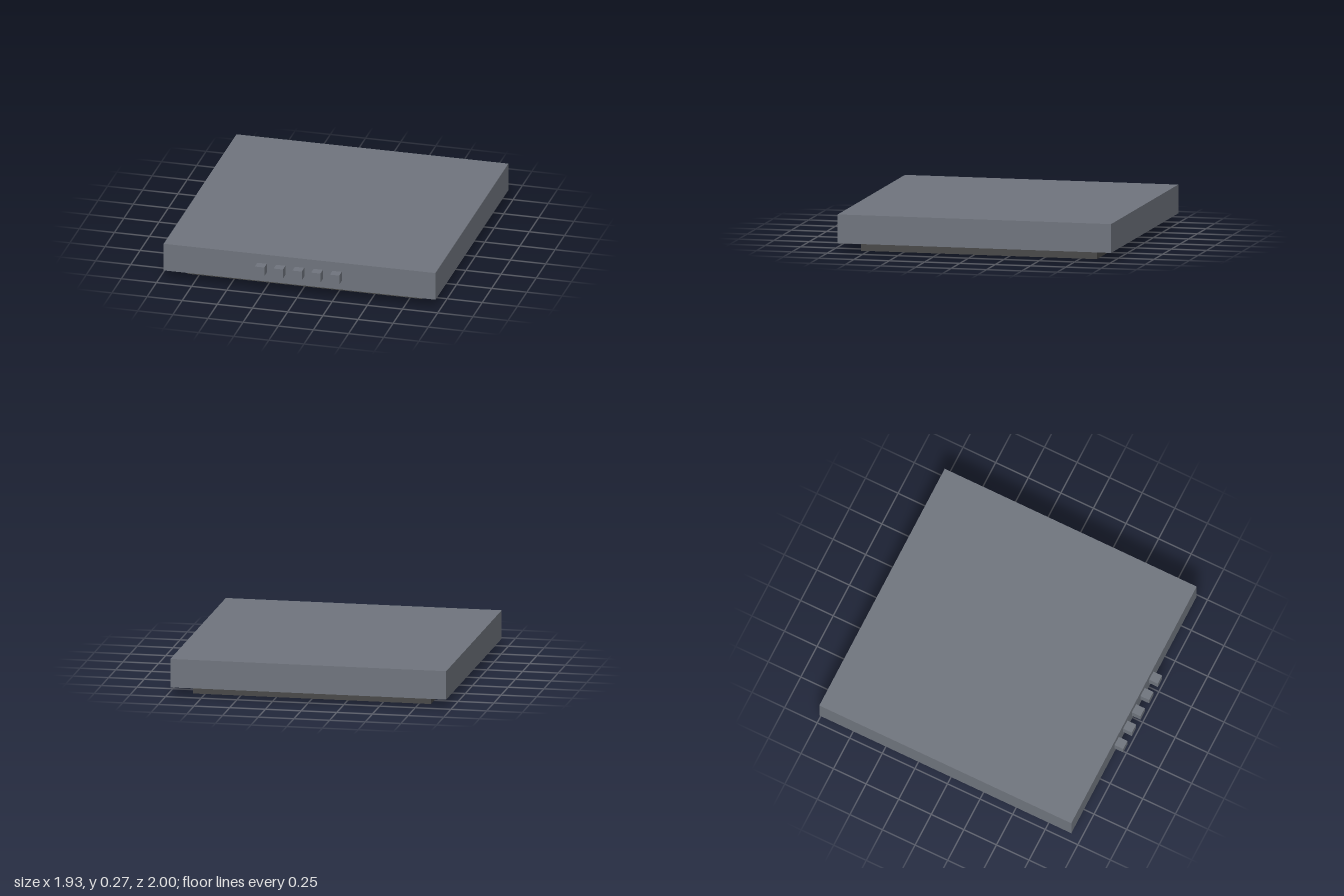
import * as THREE from 'three';

export function createModel() {
  const model = new THREE.Group();
  const slateGrey = new THREE.MeshStandardMaterial({ color: 0x70757e });
  slateGrey.name = 'slateGrey';
  const darkGrey = new THREE.MeshStandardMaterial({ color: 0x484848 });
  darkGrey.name = 'darkGrey';

  // Adds a box given its size and centre
  function addBox(name, material, size, centre) {
    const mesh = new THREE.Mesh(new THREE.BoxGeometry(...size), material);
    mesh.name = name;
    mesh.position.set(...centre);
    model.add(mesh);
  }

  const u = 1 / 15; // height of the base and edge of a button

  // Inset base and the wide slab resting on it
  addBox('base', darkGrey, [25 * u, u, 25 * u], [0, u / 2, -u / 2]);
  addBox('slab', slateGrey, [29 * u, 3 * u, 29 * u], [0, 2.5 * u, -u / 2]);

  // Row of five cube buttons on the front edge
  for (let i = -2; i <= 2; i++) {
    addBox(`button${i + 3}`, slateGrey, [u, u, u], [i * 2 * u, 2.5 * u, 14.5 * u]);
  }

  return model;
}
